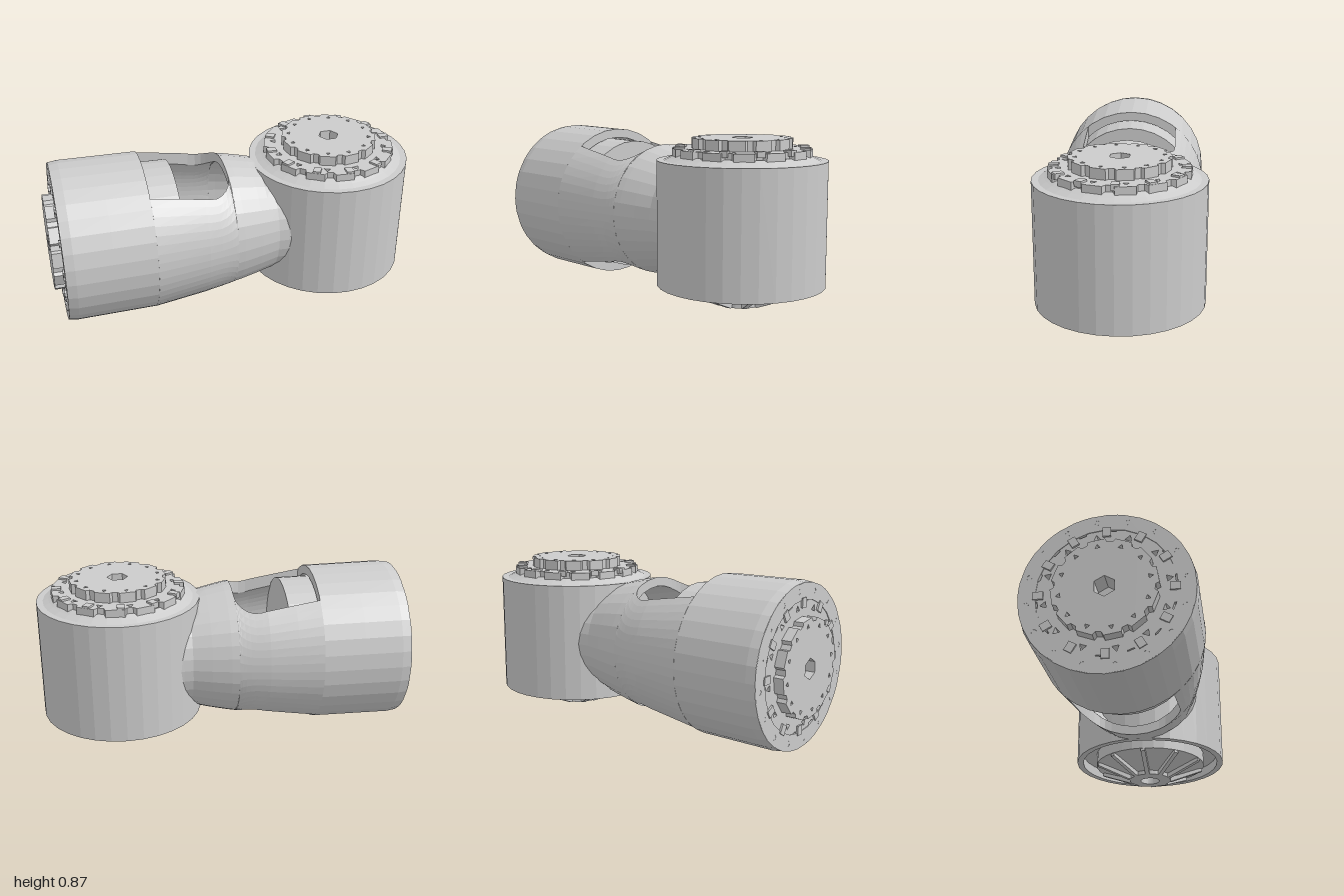
import * as THREE from 'three';

const mat = new THREE.MeshStandardMaterial({ color: 0xcccccc, flatShading: true, side: THREE.DoubleSide });
const AXIS_Y = 0.435, DRUM_X = 0.565;

function add(parent, name, geo) {
  const mesh = new THREE.Mesh(geo, mat);
  mesh.name = name;
  parent.add(mesh);
  return mesh;
}

// Circle or polygon hole
function hole(r, sides, x = 0, y = 0, turn = 0) {
  const pts = [];
  for (let i = 0; i < sides; i++) {
    const a = turn - (i / sides) * Math.PI * 2;
    pts.push(new THREE.Vector2(x + r * Math.cos(a), y + r * Math.sin(a)));
  }
  return new THREE.Path(pts);
}

// Flat disc with notched rim, centre hole and a circle of small holes; lies on y0
function plate({ r, notch = 0, teeth = 16, bore, boreSides = 24, bolts, boltR, boltRing, boltSides = 3, y0, h }) {
  const pts = [];
  for (let i = 0; i < teeth; i++) {
    [[0, r], [0.62, r], [0.7, r - notch], [0.92, r - notch]].forEach(([f, q]) => {
      const a = ((i + f) / teeth) * Math.PI * 2;
      pts.push(new THREE.Vector2(q * Math.cos(a), q * Math.sin(a)));
    });
  }
  const s = new THREE.Shape(pts);
  s.holes.push(hole(bore, boreSides));
  for (let i = 0; i < bolts; i++) {
    const a = ((i + 0.31) / bolts) * Math.PI * 2;
    s.holes.push(hole(boltR, boltSides, boltRing * Math.cos(a), boltRing * Math.sin(a), a));
  }
  return new THREE.ExtrudeGeometry(s, { depth: h, bevelEnabled: false }).rotateX(-Math.PI / 2).translate(0, y0, 0);
}

// Stepped output flange: notched ring, ring of screw blocks and raised disc
function flange(y) {
  const g = new THREE.Group();
  g.name = 'outputFlange';
  add(g, 'notchedRing', plate({ r: 0.355, notch: 0.025, teeth: 14, bore: 0.055, boreSides: 6, bolts: 12, boltR: 0.02, boltRing: 0.3, y0: 0, h: 0.055 }));
  add(g, 'raisedDisc', plate({ r: 0.257, notch: 0.018, teeth: 12, bore: 0.055, boreSides: 6, bolts: 12, boltR: 0.014, boltRing: 0.218, y0: 0.055, h: 0.053 }));
  for (let i = 0; i < 12; i++) {
    const a = (i / 12) * Math.PI * 2;
    const b = add(g, 'screwBlock', new THREE.BoxGeometry(0.05, 0.03, 0.04));
    b.position.set(0.325 * Math.cos(a), 0.05, 0.325 * Math.sin(a));
    b.rotation.y = -a;
  }
  g.position.y = y;
  return g;
}

// Outer radius of the arm along x
const RADII = [[-0.95, 0.425], [-0.9, 0.432], [-0.48, 0.427], [-0.2, 0.392], [0, 0.357], [0.1, 0.335], [0.2, 0.31], [0.32, 0.316]];
function armRadius(x) {
  const i = Math.max(1, RADII.findIndex(p => p[0] >= x - 1e-6));
  const [x0, r0] = RADII[i - 1], [x1, r1] = RADII[i];
  return r0 + (r1 - r0) * (x - x0) / (x1 - x0);
}

// Half shell of the arm; sections are [x, half width of the window]; turn PI gives the other half
function halfShell(sections, turn, n = 16) {
  const pos = [], idx = [], N = 2 * n + 2;
  for (const [x, w] of sections) {
    for (let k = 0; k < N; k++) {
      const outer = k <= n;
      const r = armRadius(x) - (outer ? 0 : 0.05);
      const t = outer ? k / n : (N - 1 - k) / n;
      const a = turn + (2 * t - 1) * Math.acos(w / r);
      const z = r * Math.cos(a);
      // stop at the drum wall
      const limit = DRUM_X - Math.sqrt(0.42 * 0.42 - Math.min(z * z, 0.17));
      pos.push(x > 0 ? Math.min(x, limit) : x, AXIS_Y + r * Math.sin(a), z);
    }
  }
  const quad = (a, b, c, d) => idx.push(a, b, c, a, c, d);
  const last = (sections.length - 1) * N;
  for (let s = 0; s < last; s += N)
    for (let k = 0; k < N; k++) {
      const m = (k + 1) % N;
      quad(s + k, s + N + k, s + N + m, s + m);
    }
  for (let k = 0; k < n; k++) {
    quad(k, k + 1, N - 2 - k, N - 1 - k);
    quad(last + N - 1 - k, last + N - 2 - k, last + k + 1, last + k);
  }
  const g = new THREE.BufferGeometry();
  g.setAttribute('position', new THREE.Float32BufferAttribute(pos, 3));
  g.setIndex(idx);
  g.computeVertexNormals();
  return g;
}

export function createModel() {
  const model = new THREE.Group();
  model.name = 'robotArmJoint';

  // Arm shell with a window through top and bottom, rounded towards the drum
  const arm = new THREE.Group();
  arm.name = 'armShell';
  model.add(arm);
  const windowPart = [-0.48, -0.35, -0.2, -0.17, -0.13, -0.1, -0.075, -0.055, -0.045, -0.04]
    .map(x => [x, 0.13 + Math.sqrt(Math.max(0, 0.0169 - Math.max(0, x + 0.17) ** 2))]);
  const solid = xs => xs.map(x => [x, 0]);
  for (const turn of [0, Math.PI]) {
    add(arm, 'motorHousing', halfShell(solid([-0.95, -0.9, -0.7, -0.48]), turn));
    add(arm, 'windowSide', halfShell(windowPart, turn));
    add(arm, 'neck', halfShell(solid([-0.04, 0, 0.05, 0.1, 0.15, 0.2, 0.25, 0.32]), turn));
  }

  // Motor joint at the end of the arm, axis along -x
  const motor = new THREE.Group();
  motor.name = 'endMotor';
  motor.position.set(-0.95, AXIS_Y, 0);
  motor.rotation.z = Math.PI / 2;
  model.add(motor);
  add(motor, 'endRing', plate({ r: 0.424, bore: 0.34, bolts: 16, boltR: 0.014, boltRing: 0.385, boltSides: 6, y0: -0.03, h: 0.031 }));
  motor.add(flange(-0.058));
  add(motor, 'motorBody', new THREE.CylinderGeometry(0.372, 0.365, 0.57, 32)).position.y = -0.345;
  add(motor, 'shaftCollar', new THREE.CylinderGeometry(0.1, 0.12, 0.02, 16)).position.y = -0.635;
  add(motor, 'shaft', new THREE.CylinderGeometry(0.04, 0.04, 0.09, 8)).position.y = -0.675;

  // Upright drum, bored through, with a recessed underside
  const drum = new THREE.Group();
  drum.name = 'drumJoint';
  drum.position.x = DRUM_X;
  model.add(drum);
  const profile = [
    [0.055, 0.008], [0.12, 0.012], [0.12, 0.035], [0.3, 0.1], [0.32, 0.1], [0.32, 0.17], [0.4, 0.17], [0.4, 0.115],
    [0.435, 0.115], [0.435, 0.757], [0.4, 0.757], [0.37, 0.77], [0.34, 0.785], [0.055, 0.785], [0.055, 0.008],
  ].map(p => new THREE.Vector2(...p));
  add(drum, 'drumBody', new THREE.LatheGeometry(profile, 32));
  drum.add(flange(0.762));

  // Radial ribs under the drum
  const rib = new THREE.Shape([[0.1, 0.012], [0.13, 0.012], [0.315, 0.085], [0.315, 0.13], [0.1, 0.06]].map(p => new THREE.Vector2(...p)));
  const ribGeo = new THREE.ExtrudeGeometry(rib, { depth: 0.025, bevelEnabled: false }).translate(0, 0, -0.0125);
  for (let i = 0; i < 10; i++) add(drum, 'underRib', ribGeo).rotation.y = (i / 10) * Math.PI * 2;

  return model;
}
